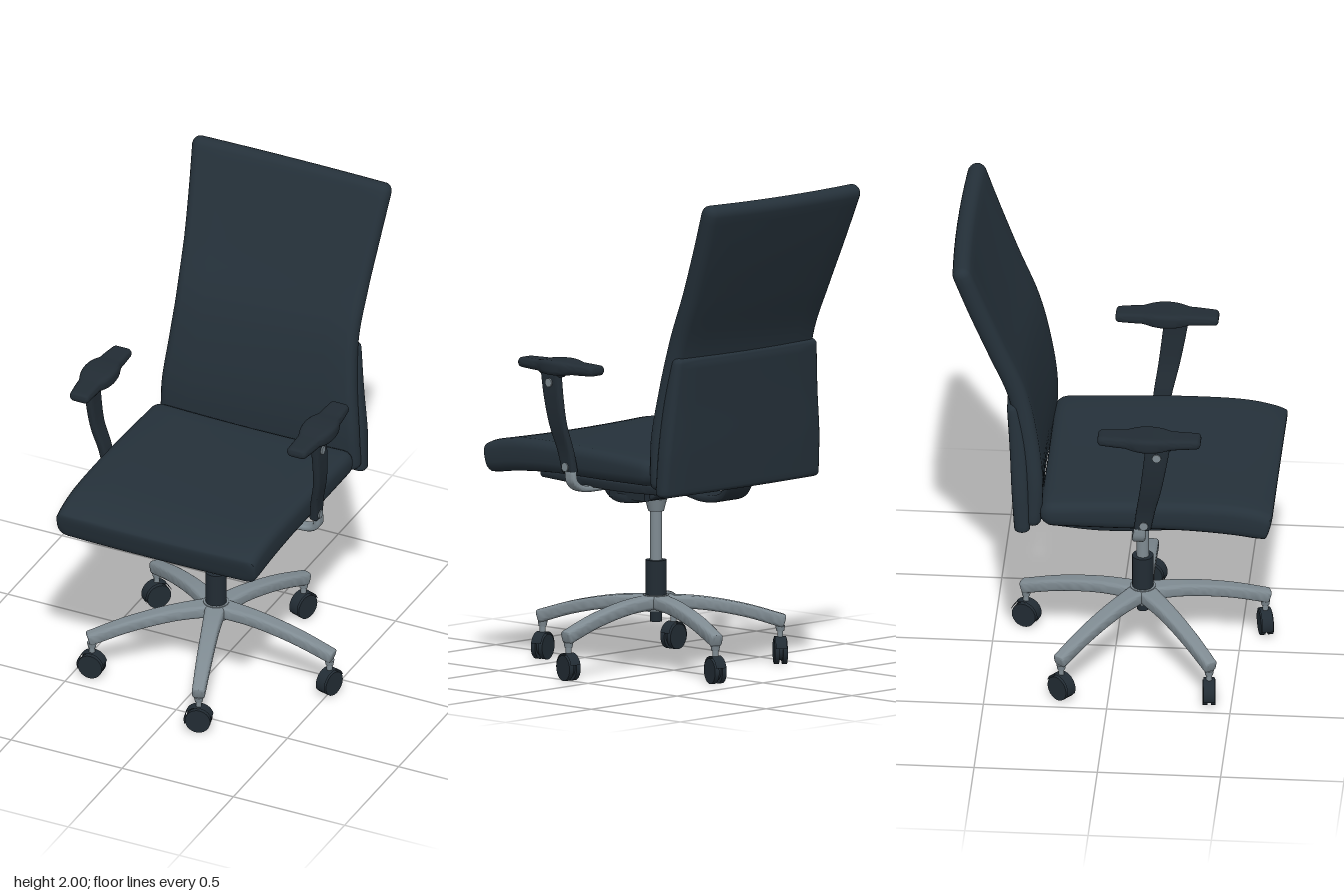
import * as THREE from 'three';
import { toCreasedNormals } from 'three/addons/utils/BufferGeometryUtils.js';

const V = (x, y, z) => new THREE.Vector3(x, y, z);
const X = V(1, 0, 0), Z = V(0, 0, 1);

// Rounded rectangle, ordered so that point i lies opposite point n-1-i
function section(w, t, r) {
  r = Math.max(0.0005, Math.min(r, w, t));
  const pts = [];
  const arc = (cx, cy, a0) => {
    for (let i = 0; i <= 4; i++) {
      const a = a0 + (i / 4) * Math.PI / 2;
      pts.push([cx + r * Math.cos(a), cy + r * Math.sin(a)]);
    }
  };
  const edge = (y, dir) => {
    for (let i = 1; i < 8; i++) pts.push([dir * (w - r) * (1 - i / 4), y]);
  };
  arc(w - r, t - r, 0);
  edge(t, 1);
  arc(r - w, t - r, Math.PI / 2);
  arc(r - w, r - t, Math.PI);
  edge(-t, -1);
  arc(w - r, r - t, Math.PI * 1.5);
  return pts;
}

// Padded bar along a spine: half widths w, half thicknesses t, rounded ends, bowed across
function bar(points, w, t, { side = X, r = 0.02, end = 0.02, bow = 0, steps = 28 } = {}) {
  const curve = new THREE.CatmullRomCurve3(points);
  const size = new THREE.CatmullRomCurve3(w.map((a, i) => V(a, t[i], 0)));
  const e = end / curve.getLength();
  const stations = [];
  for (let i = 0; i <= 4; i++) {
    const a = i * Math.PI / 8;
    stations.push([e * (1 - Math.cos(a)), end * (1 - Math.sin(a))]);
  }
  const tail = stations.map(([u, s]) => [1 - u, s]).reverse();
  for (let i = 1; i < steps; i++) {
    const u = i / steps;
    if (u > e * 1.2 && u < 1 - e * 1.2) stations.push([u, 0]);
  }
  stations.push(...tail);
  const pos = [], idx = [];
  let n = 0;
  for (const [u, s] of stations) {
    const p = curve.getPoint(u), d = size.getPoint(u);
    const normal = curve.getTangent(u).cross(side).normalize();
    const ring = section(Math.max(d.x - s, 0.001), Math.max(d.y - s, 0.001), r);
    n = ring.length;
    for (const [a, b] of ring) {
      const q = p.clone().addScaledVector(side, a).addScaledVector(normal, b + bow * (a / d.x) ** 2);
      pos.push(q.x, q.y, q.z);
    }
  }
  const last = (stations.length - 1) * n;
  for (let j = 0; j < last; j += n) {
    for (let i = 0; i < n; i++) {
      const k = (i + 1) % n;
      idx.push(j + i, j + k, j + n + k, j + i, j + n + k, j + n + i);
    }
  }
  for (let i = 0; i < n / 2 - 1; i++) {
    const a = i, b = i + 1, c = n - 2 - i, d = n - 1 - i;
    idx.push(a, c, b, a, d, c, last + a, last + b, last + c, last + a, last + c, last + d);
  }
  const g = new THREE.BufferGeometry();
  g.setAttribute('position', new THREE.Float32BufferAttribute(pos, 3));
  g.setIndex(idx);
  return toCreasedNormals(g, 0.7);
}

export function createModel() {
  const model = new THREE.Group();
  const mat = (name, color) => {
    const m = new THREE.MeshStandardMaterial({ color });
    m.name = name;
    return m;
  };
  const fabric = mat('dark fabric', 0x25313a);
  const plastic = mat('dark plastic', 0x222c34);
  plastic.side = THREE.DoubleSide;
  const metal = mat('grey metal', 0x7f8b92);

  const add = (name, geo, material, x = 0, y = 0, z = 0, parent = model) => {
    const m = new THREE.Mesh(geo, material);
    m.name = name;
    m.position.set(x, y, z);
    parent.add(m);
    return m;
  };
  const cyl = (r1, r2, h, seg = 24) => new THREE.CylinderGeometry(r1, r2, h, seg);

  // Seat cushion and pan
  add('seatCushion', bar(
    [V(0, 0.865, -0.275), V(0, 0.872, 0), V(0, 0.877, 0.3), V(0, 0.868, 0.5), V(0, 0.852, 0.6), V(0, 0.838, 0.657)],
    [0.452, 0.452, 0.452, 0.45, 0.448, 0.446], [0.052, 0.06, 0.064, 0.068, 0.066, 0.058],
    { r: 0.04, end: 0.035, bow: 0.008 }), fabric, -0.008);
  add('seatPan', bar([V(0, 0.797, -0.25), V(0, 0.797, 0), V(0, 0.8, 0.42)],
    [0.36, 0.39, 0.36], [0.022, 0.022, 0.015], { r: 0.012, end: 0.012 }), plastic);

  // Backrest cushion and rear shell
  add('backrest', bar(
    [V(0, 0.81, -0.32), V(0, 1.0, -0.315), V(0, 1.2, -0.34), V(0, 1.4, -0.385),
      V(0, 1.6, -0.466), V(0, 1.8, -0.545), V(0, 1.996, -0.617)],
    [0.448, 0.44, 0.418, 0.405, 0.412, 0.428, 0.447], [0.036, 0.038, 0.04, 0.04, 0.04, 0.04, 0.038],
    { r: 0.036, end: 0.034, bow: -0.015, steps: 36 }), fabric);
  add('backShell', bar(
    [V(0, 0.785, -0.357), V(0, 0.95, -0.366), V(0, 1.15, -0.376), V(0, 1.355, -0.4)],
    [0.456, 0.45, 0.428, 0.408], [0.032, 0.034, 0.034, 0.024],
    { r: 0.025, end: 0.02, bow: -0.012 }), fabric);

  // Tilt mechanism
  add('tiltTray', bar([V(0, 0.785, 0.39), V(0, 0.735, 0.32), V(0, 0.705, 0.16), V(0, 0.725, 0.02), V(0, 0.78, -0.04)],
    [0.05, 0.09, 0.165, 0.13, 0.08], [0.014, 0.016, 0.02, 0.018, 0.014], { r: 0.012, end: 0.008 }), plastic);
  add('mechanismBox', new THREE.BoxGeometry(0.32, 0.085, 0.2), plastic, 0, 0.745, 0.12);
  add('backSupport', bar([V(0, 0.775, 0.02), V(0, 0.748, -0.1), V(0, 0.73, -0.22), V(0, 0.75, -0.32), V(0, 0.82, -0.365)],
    [0.07, 0.07, 0.07, 0.075, 0.08], [0.014, 0.014, 0.015, 0.014, 0.012], { r: 0.012, end: 0.008 }), plastic);
  add('tiltLever', new THREE.BoxGeometry(0.05, 0.035, 0.06), plastic, -0.19, 0.73, 0.15);
  add('leverKnob', cyl(0.02, 0.02, 0.07, 16), plastic, -0.19, 0.72, 0.15);

  // Arms, mirrored
  for (const s of [1, -1]) {
    const arm = new THREE.Group();
    arm.name = s > 0 ? 'leftArm' : 'rightArm';
    model.add(arm);
    add('armPad', bar([V(s * 0.488, 1.277, -0.036), V(s * 0.493, 1.277, 0.08), V(s * 0.493, 1.277, 0.26), V(s * 0.488, 1.277, 0.382)],
      [0.042, 0.05, 0.05, 0.042], [0.02, 0.023, 0.023, 0.02], { r: 0.018, end: 0.016 }), plastic, 0, 0, 0, arm);
    add('armBracketTop', bar([V(s * 0.5, 1.235, 0.205), V(s * 0.5, 1.262, 0.205)],
      [0.055, 0.075], [0.02, 0.03], { side: Z, end: 0.003, steps: 3 }), plastic, 0, 0, 0, arm);
    add('armUpright', bar([V(s * 0.508, 1.26, 0.21), V(s * 0.508, 1.15, 0.195), V(s * 0.5, 1.04, 0.178), V(s * 0.477, 0.93, 0.157), V(s * 0.466, 0.84, 0.143)],
      [0.05, 0.047, 0.043, 0.038, 0.034], [0.016, 0.016, 0.015, 0.016, 0.018],
      { side: Z, r: 0.012, end: 0.01 }), plastic, 0, 0, 0, arm);
    add('armScrewTop', cyl(0.018, 0.018, 0.012, 16), metal, s * 0.524, 1.21, 0.205, arm).rotation.z = Math.PI / 2;
    add('armScrewBottom', cyl(0.018, 0.018, 0.012, 16), metal, s * 0.486, 0.866, 0.15, arm).rotation.z = Math.PI / 2;
    add('armBracket', bar([V(s * 0.472, 0.85, 0.135), V(s * 0.468, 0.805, 0.13), V(s * 0.435, 0.778, 0.125), V(s * 0.3, 0.77, 0.12), V(s * 0.12, 0.765, 0.12)],
      [0.025, 0.027, 0.027, 0.027, 0.027], [0.014, 0.014, 0.013, 0.012, 0.012],
      { side: Z, r: 0.012, end: 0.006 }), metal, 0, 0, 0, arm);
  }

  // Gas column and hub
  const base = new THREE.Group();
  base.name = 'base';
  base.position.z = 0.11;
  model.add(base);
  add('columnCollar', cyl(0.045, 0.032, 0.05), metal, 0, 0.665, 0, base);
  add('columnRod', cyl(0.025, 0.025, 0.28), metal, 0, 0.55, 0, base);
  add('columnSleeve', cyl(0.043, 0.043, 0.15), plastic, 0, 0.365, 0, base);
  add('hub', cyl(0.052, 0.058, 0.065), metal, 0, 0.266, 0, base);
  add('hubCap', cyl(0.026, 0.024, 0.06), plastic, 0, 0.218, 0, base);

  // Five legs with twin-wheel casters
  const legGeo = bar([V(0.02, 0.27, 0), V(0.18, 0.26, 0), V(0.36, 0.226, 0), V(0.527, 0.175, 0)],
    [0.042, 0.035, 0.031, 0.026], [0.027, 0.026, 0.026, 0.027], { side: Z, r: 0.014, end: 0.008 });
  const wheelGeo = cyl(0.052, 0.052, 0.019).rotateX(Math.PI / 2);
  const coreGeo = cyl(0.04, 0.04, 0.014).rotateX(Math.PI / 2);
  const hoodGeo = new THREE.CylinderGeometry(0.058, 0.058, 0.046, 20, 1, true, 0, Math.PI * 1.05).rotateX(Math.PI / 2).rotateZ(0.25 + Math.PI / 2);
  const yaw = [75, 15, 5, 50, 70];
  yaw.forEach((deg, k) => {
    const a = k * Math.PI * 2 / 5;
    add('leg', legGeo, metal, 0, 0, 0, base).rotation.y = -a;
    const caster = new THREE.Group();
    caster.name = 'caster';
    caster.position.set(0.51 * Math.cos(a), 0, 0.51 * Math.sin(a));
    caster.rotation.y = deg * Math.PI / 180;
    base.add(caster);
    for (const s of [1, -1]) add('wheel', wheelGeo, plastic, 0, 0.052, s * 0.0165, caster);
    add('wheelCore', coreGeo, plastic, 0, 0.055, 0, caster);
    add('wheelHood', hoodGeo, plastic, 0, 0.055, 0, caster);
    add('casterStem', cyl(0.012, 0.012, 0.07, 16), metal, 0, 0.135, 0, caster);
    add('casterCollar', cyl(0.02, 0.016, 0.022, 16), metal, 0, 0.146, 0, caster);
  });

  model.children.forEach((c) => { c.position.x -= 0.01; });
  return model;
}
